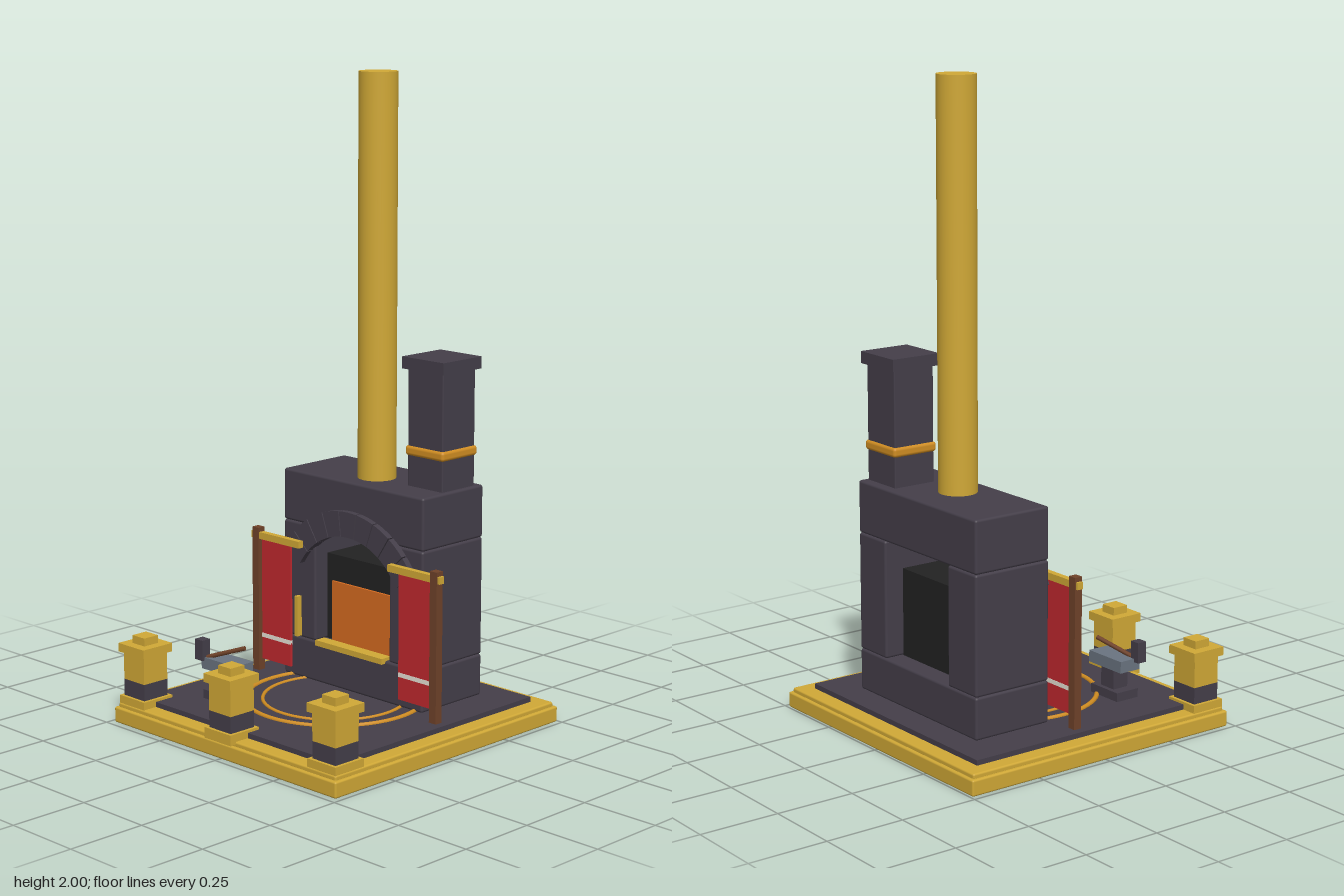
import * as THREE from 'three';
import { RoundedBoxGeometry } from 'three/addons/geometries/RoundedBoxGeometry.js';

const mat = (name, color, extra = {}) => {
  const m = new THREE.MeshStandardMaterial({ color, ...extra });
  m.name = name;
  return m;
};

export function createModel() {
  const gold = mat('gold', 0xd0a836);
  const stone = mat('dark stone', 0x443e49);
  const red = mat('red cloth', 0xc0282e);
  const wood = mat('brown wood', 0x6f4229);
  const fire = mat('fire orange', 0xd56b20);
  const amber = mat('amber metal', 0xd08d22);
  const steel = mat('steel', 0x6a7480);
  const soot = mat('soot black', 0x222222, { flatShading: true });
  const cream = mat('cream trim', 0xece6da);

  const root = new THREE.Group();
  root.name = 'forge';

  const add = (parent, name, geometry, material, x = 0, y = 0, z = 0) => {
    const mesh = new THREE.Mesh(geometry, material);
    mesh.name = name;
    mesh.position.set(x, y, z);
    parent.add(mesh);
    return mesh;
  };
  // Box given by its extents on each axis
  const box = (parent, name, material, [x0, x1], [y0, y1], [z0, z1], r = 0) => {
    const s = [x1 - x0, y1 - y0, z1 - z0];
    const g = r ? new RoundedBoxGeometry(...s, 2, r) : new THREE.BoxGeometry(...s);
    return add(parent, name, g, material, (x0 + x1) / 2, (y0 + y1) / 2, (z0 + z1) / 2);
  };
  const group = (name, x = 0, y = 0, z = 0) => {
    const g = new THREE.Group();
    g.name = name;
    g.position.set(x, y, z);
    root.add(g);
    return g;
  };

  // Stepped platform and inlaid floor rings
  const base = group('platform');
  box(base, 'lowerStep', gold, [-0.485, 0.485], [0, 0.05], [-0.495, 0.48], 0.006);
  box(base, 'upperStep', gold, [-0.475, 0.475], [0.045, 0.064], [-0.485, 0.47], 0.006);
  box(base, 'floor', stone, [-0.425, 0.425], [0.06, 0.08], [-0.435, 0.42]);
  for (const [r, t] of [[0.278, 0.008], [0.222, 0.006]]) {
    add(base, 'floorRing', new THREE.TorusGeometry(r, t, 8, 64), amber, 0, 0.08, 0).rotation.x = Math.PI / 2;
  }

  // Furnace body: plinth, two piers and lintel
  const furnace = group('furnace');
  const depth = [-0.345, -0.075];
  box(furnace, 'plinth', stone, [-0.3, 0.3], [0.08, 0.212], depth, 0.008);
  box(furnace, 'leftPier', stone, [0.16, 0.3], [0.212, 0.585], depth, 0.008);
  box(furnace, 'rightPier', stone, [-0.3, -0.16], [0.212, 0.585], depth, 0.008);
  box(furnace, 'lintel', stone, [-0.3, 0.3], [0.585, 0.75], depth, 0.008);
  box(furnace, 'firebox', soot, [-0.16, 0.16], [0.21, 0.49], [-0.28, -0.13]);
  box(furnace, 'fireGlow', fire, [-0.133, 0.133], [0.21, 0.405], [-0.13, -0.122]);
  box(furnace, 'hearthSill', gold, [-0.145, 0.145], [0.204, 0.222], [-0.1, -0.06]);
  for (const s of [-1, 1]) {
    add(furnace, 'sideHandle', new THREE.BoxGeometry(0.014, 0.13, 0.02), gold, s * 0.228, 0.283, -0.066);
  }

  // Arch of wedge stones
  const blocks = 9, span = Math.PI * 2 / 3;
  for (let i = 0; i < blocks; i++) {
    const a0 = Math.PI / 6 + span * i / blocks + 0.006;
    const a1 = Math.PI / 6 + span * (i + 1) / blocks - 0.006;
    const shape = new THREE.Shape();
    shape.absarc(0, 0, 0.32, a0, a1, false);
    shape.absarc(0, 0, 0.24, a1, a0, true);
    const g = new THREE.ExtrudeGeometry(shape, { depth: 0.035, bevelEnabled: false, curveSegments: 3 });
    add(furnace, 'archStone', g, stone, 0, 0.34, -0.09);
  }

  // Tall pipe and square chimney
  add(root, 'tallPipe', new THREE.CylinderGeometry(0.06, 0.06, 1.26, 32), gold, 0, 1.37, -0.187);
  const chimney = group('chimney');
  box(chimney, 'stack', stone, [0.143, 0.287], [0.745, 1.115], [-0.317, -0.173], 0.004);
  box(chimney, 'band', amber, [0.136, 0.294], [0.845, 0.876], [-0.324, -0.166], 0.01);
  box(chimney, 'cap', stone, [0.13, 0.3], [1.113, 1.15], [-0.33, -0.16]);

  // Banners on poles either side of the opening
  for (const s of [-1, 1]) {
    const b = group(s > 0 ? 'leftBanner' : 'rightBanner', s * 0.3, 0, -0.043);
    add(b, 'pole', new THREE.BoxGeometry(0.028, 0.47, 0.026), wood, s * 0.085, 0.315, 0);
    add(b, 'crossbar', new THREE.BoxGeometry(0.215, 0.022, 0.02), gold, 0, 0.525, 0);
    add(b, 'cloth', new THREE.BoxGeometry(0.13, 0.395, 0.008), red, 0, 0.317, 0);
    add(b, 'clothTrim', new THREE.BoxGeometry(0.13, 0.014, 0.0095), cream, 0, 0.198, 0);
  }

  // Three gold posts along the front edge
  for (const [x, z] of [[-0.415, 0.41], [0, 0.432], [0.415, 0.41]]) {
    const p = group('post', x, 0, z);
    for (const [name, m, w, y0, y1] of [
      ['postFoot', gold, 0.115, 0.055, 0.088],
      ['postDarkBand', stone, 0.094, 0.088, 0.14],
      ['postShaft', gold, 0.094, 0.14, 0.23],
      ['postCap', gold, 0.117, 0.228, 0.255],
      ['postKnob', gold, 0.055, 0.255, 0.28],
    ]) box(p, name, m, [-w / 2, w / 2], [y0, y1], [-w / 2, w / 2]);
  }

  // Anvil with a hammer resting on it
  const anvil = group('anvil');
  box(anvil, 'anvilFoot', stone, [-0.285, -0.16], [0.08, 0.108], [0.205, 0.288]);
  box(anvil, 'anvilNeck', stone, [-0.25, -0.19], [0.108, 0.175], [0.22, 0.275]);
  box(anvil, 'anvilTop', steel, [-0.295, -0.143], [0.173, 0.21], [0.21, 0.285]);
  box(anvil, 'hammerHead', stone, [-0.315, -0.281], [0.2, 0.265], [0.262, 0.294]);
  const from = new THREE.Vector3(-0.285, 0.208, 0.275), to = new THREE.Vector3(-0.16, 0.253, 0.227);
  const dir = to.clone().sub(from);
  const handle = add(anvil, 'hammerHandle', new THREE.CylinderGeometry(0.007, 0.007, dir.length(), 8), wood);
  handle.position.copy(from).add(to).multiplyScalar(0.5);
  handle.quaternion.setFromUnitVectors(new THREE.Vector3(0, 1, 0), dir.normalize());

  // Coal heap with glowing embers
  const coals = group('coalHeap', 0, 0.08, 0);
  [[0.175, 0.215], [0.2, 0.245], [0.245, 0.195], [0.265, 0.215], [0.23, 0.268], [0.215, 0.222]].forEach(([x, z], i) => {
    const c = add(coals, 'coal', new THREE.DodecahedronGeometry(0.029, 0), soot, x, 0.024 + (i === 5 ? 0.01 : 0), z);
    c.rotation.set(i, i * 1.7, i * 0.6);
  });
  for (const [x, z] of [[0.186, 0.233], [0.258, 0.208], [0.234, 0.264]]) {
    add(coals, 'ember', new THREE.IcosahedronGeometry(0.015, 0), fire, x, 0.047, z);
  }
  return root;
}
